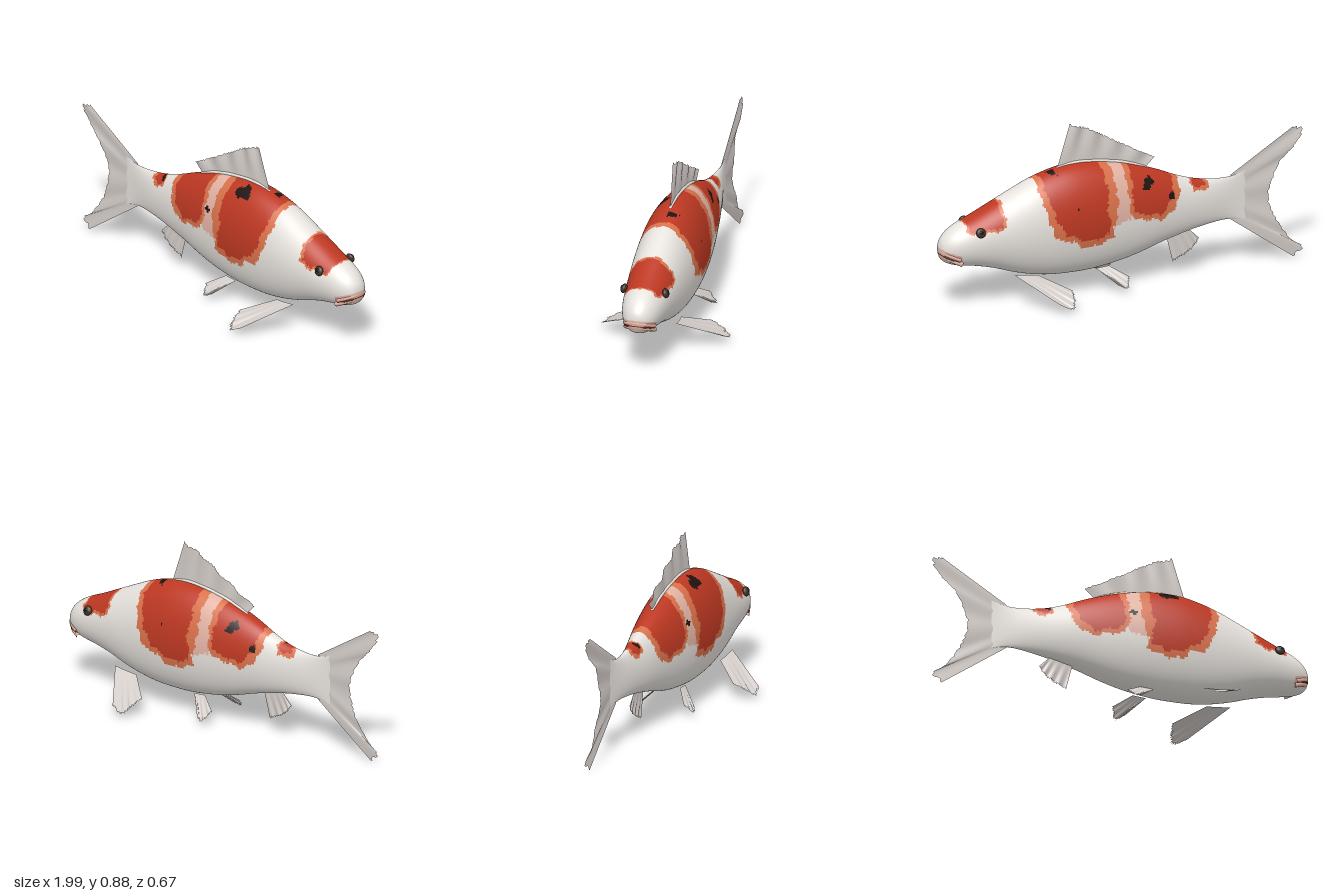
import * as THREE from 'three';

const mat = (name, color, side = THREE.FrontSide) => {
  const m = new THREE.MeshStandardMaterial({ color, side });
  m.name = name;
  return m;
};
const V = (p) => new THREE.Vector3(p[0], p[1], p[2] || 0);
const curve = (pts) => new THREE.CatmullRomCurve3(pts.map(V));

// body stations, tail to nose: x, top y, bottom y, half width
const STATIONS = [
  [-0.68, 0.5, 0.235, 0], [-0.63, 0.483, 0.25, 0.008], [-0.57, 0.477, 0.255, 0.02], [-0.5, 0.48, 0.25, 0.036],
  [-0.4, 0.497, 0.236, 0.058], [-0.3, 0.53, 0.215, 0.08], [-0.2, 0.573, 0.19, 0.1], [-0.1, 0.61, 0.16, 0.118],
  [0, 0.64, 0.136, 0.133], [0.1, 0.66, 0.12, 0.145], [0.2, 0.672, 0.11, 0.152], [0.3, 0.671, 0.109, 0.155],
  [0.4, 0.652, 0.114, 0.153], [0.5, 0.62, 0.13, 0.147], [0.6, 0.576, 0.156, 0.138], [0.7, 0.53, 0.19, 0.126],
  [0.8, 0.484, 0.216, 0.113], [0.87, 0.455, 0.228, 0.101], [0.92, 0.43, 0.238, 0.087], [0.955, 0.405, 0.25, 0.069],
  [0.98, 0.377, 0.268, 0.046], [0.991, 0.352, 0.292, 0.024], [0.995, 0.325, 0.322, 0],
];

// side-on outlines (x, y) of the markings, open over the back
const RED = [
  [[0.12, 0.8], [0.13, 0.6], [0.12, 0.52], [0.14, 0.46], [0.12, 0.38], [0.12, 0.33], [0.2, 0.305], [0.28, 0.31],
    [0.36, 0.36], [0.41, 0.42], [0.43, 0.5], [0.455, 0.58], [0.46, 0.8]],
  [[-0.25, 0.8], [-0.26, 0.5], [-0.24, 0.43], [-0.17, 0.37], [-0.1, 0.385], [-0.03, 0.4], [-0.01, 0.46], [-0.02, 0.55], [-0.02, 0.8]],
  [[-0.46, 0.6], [-0.45, 0.47], [-0.4, 0.45], [-0.38, 0.47], [-0.38, 0.6]],
  [[0.69, 0.7], [0.69, 0.435], [0.76, 0.42], [0.85, 0.41], [0.865, 0.45], [0.865, 0.6]],
];
const ORANGE = [
  [[0.075, 0.8], [0.08, 0.6], [0.07, 0.5], [0.08, 0.42], [0.1, 0.36], [0.1, 0.3], [0.14, 0.285], [0.22, 0.268], [0.28, 0.275],
    [0.32, 0.31], [0.4, 0.33], [0.43, 0.37], [0.45, 0.43], [0.47, 0.5], [0.485, 0.56], [0.49, 0.8]],
  [[-0.3, 0.8], [-0.295, 0.48], [-0.28, 0.43], [-0.25, 0.38], [-0.18, 0.34], [-0.13, 0.357], [-0.03, 0.37], [0, 0.4], [0.01, 0.5], [0.01, 0.8]],
  [[-0.47, 0.6], [-0.47, 0.455], [-0.42, 0.437], [-0.37, 0.45], [-0.365, 0.6]],
  [[0.675, 0.7], [0.675, 0.425], [0.75, 0.408], [0.86, 0.4], [0.872, 0.45], [0.872, 0.6]],
];
const PINK = [[[0, 0.8], [0, 0.39], [0.04, 0.37], [0.09, 0.36], [0.09, 0.8]]];
// black spots: x, y, side, x radius, y radius
const SPOTS = [
  [0.23, 0.637, 1, 0.05, 0.025], [0.035, 0.497, 1, 0.02, 0.013], [-0.39, 0.485, 1, 0.013, 0.015],
  [-0.11, 0.54, -1, 0.03, 0.03], [-0.24, 0.45, -1, 0.018, 0.018], [0.39, 0.65, -1, 0.02, 0.012], [0.3, 0.47, -1, 0.009, 0.009],
];

function inside(poly, x, y) {
  let hit = false;
  for (let i = 0, j = poly.length - 1; i < poly.length; j = i++) {
    const [ax, ay] = poly[i], [bx, by] = poly[j];
    if ((ay > y) !== (by > y) && x < ((bx - ax) * (y - ay)) / (by - ay) + ax) hit = !hit;
  }
  return hit;
}

// material index of a skin face: white, red, orange, pink, black
function skin(x, y, z) {
  const px = x + 0.005 * Math.sin(y * 75 + z * 20) + 0.003 * Math.sin(y * 190);
  const py = y + 0.006 * Math.sin(x * 70 + (z < 0 ? 2 : 0)) + 0.003 * Math.sin(x * 210);
  for (const [sx, sy, side, rx, ry] of SPOTS) {
    if (z * side > 0 && Math.hypot((px - sx) / rx, (py - sy) / ry) < 1) return 4;
  }
  if (RED.some((p) => inside(p, px, py))) return 1;
  if (ORANGE.some((p) => inside(p, px, py))) return 2;
  if (PINK.some((p) => inside(p, px, py))) return 3;
  if (x > 0.9 && y > 0.25 + (x - 0.9) * 0.3 && y < 0.298 + (x - 0.9) * 0.36) return 3;
  return 0;
}

function bodyGeometry() {
  const SUB = 12, N = 128, rings = (STATIONS.length - 1) * SUB;
  const pos = [], buckets = [[], [], [], [], []];
  const at = (k) => STATIONS[Math.max(0, Math.min(STATIONS.length - 1, k))];
  for (let i = 0; i <= rings; i++) {
    const k = Math.min(Math.floor(i / SUB), STATIONS.length - 2), t = i / SUB - k;
    const [x, top, bot, w] = [0, 1, 2, 3].map((c) => {
      const a = at(k - 1)[c], b = at(k)[c], d = at(k + 1)[c], e = at(k + 2)[c];
      return b + 0.5 * t * (d - a + t * (2 * a - 5 * b + 4 * d - e + t * (3 * (b - d) + e - a)));
    });
    for (let j = 0; j < N; j++) {
      const a = (j / N) * Math.PI * 2, s = Math.sin(a), c = Math.cos(a);
      const full = c < 0 ? 0.85 : 1; // the belly is a little fuller than the back
      pos.push(x, (top + bot) / 2 + ((top - bot) / 2) * c, Math.max(w, 0) * Math.sign(s) * Math.abs(s) ** full);
    }
  }
  for (let i = 0; i < rings; i++) for (let j = 0; j < N; j++) {
    const a = i * N + j, c = i * N + ((j + 1) % N), b = a + N, d = c + N;
    const mid = [0, 1, 2].map((q) => (pos[a * 3 + q] + pos[c * 3 + q] + pos[b * 3 + q] + pos[d * 3 + q]) / 4);
    buckets[skin(...mid)].push(a, c, b, c, d, b);
  }
  const g = new THREE.BufferGeometry();
  g.setAttribute('position', new THREE.Float32BufferAttribute(pos, 3));
  g.setIndex(buckets.flat());
  let start = 0;
  buckets.forEach((list, m) => { g.addGroup(start, list.length, m); start += list.length; });
  g.computeVertexNormals();
  return g;
}

// rippled membrane between a base curve and a frayed outer curve
function finGeometry(base, tip, ripple, fray) {
  const U = 72, W = 10, b = curve(base), e = curve(tip), pos = [], idx = [];
  for (let i = 0; i <= U; i++) {
    const u = i / U, p = b.getPoint(u), q = e.getPoint(u);
    const edge = i === 0 || i === U ? 1 : 1 - fray * Math.abs(Math.sin(i * 1.9) * Math.cos(i * 0.73));
    for (let j = 0; j <= W; j++) {
      const v = (j / W) * edge, r = p.clone().lerp(q, v);
      pos.push(r.x, r.y, r.z + ripple * v * Math.sin(u * 26));
      if (i < U && j < W) {
        const k = i * (W + 1) + j;
        idx.push(k, k + 1, k + W + 1, k + 1, k + W + 2, k + W + 1);
      }
    }
  }
  const g = new THREE.BufferGeometry();
  g.setAttribute('position', new THREE.Float32BufferAttribute(pos, 3));
  g.setIndex(idx);
  g.computeVertexNormals();
  return g;
}

export function createModel() {
  const fish = new THREE.Group();
  fish.name = 'fish';
  const white = mat('white skin', 0xe6e2dd), red = mat('red marking', 0xbd3822), orange = mat('orange edge', 0xd8714a);
  const pink = mat('pale pink', 0xe2b3a4), black = mat('black spot', 0x1e1210);
  const finMat = mat('fin membrane', 0xd3ccc8, THREE.DoubleSide);
  const eyeMat = mat('eye brown', 0x3d3128), mouthMat = mat('mouth crease', 0x5b2a22);
  const add = (name, geo, m) => {
    const mesh = new THREE.Mesh(geo, m);
    mesh.name = name;
    fish.add(mesh);
    return mesh;
  };

  add('body', bodyGeometry(), [white, red, orange, pink, black]);

  // fins on the centre line
  add('tailFin', finGeometry([[-0.6, 0.485], [-0.61, 0.37], [-0.6, 0.25]],
    [[-0.945, 0.693], [-1, 0.675], [-0.95, 0.59], [-0.88, 0.52], [-0.83, 0.43], [-0.81, 0.35], [-0.835, 0.25],
      [-0.88, 0.17], [-0.94, 0.09], [-1, 0.045], [-0.945, 0.003]], 0.004, 0.05), finMat);
  add('dorsalFin', finGeometry([[-0.13, 0.59], [0.02, 0.64], [0.18, 0.665], [0.345, 0.665]],
    [[-0.185, 0.642], [-0.06, 0.71], [0.07, 0.785], [0.18, 0.848], [0.275, 0.88]], 0.008, 0.06), finMat);
  add('analFin', finGeometry([[-0.37, 0.235], [-0.25, 0.21]],
    [[-0.43, 0.175], [-0.4, 0.135], [-0.35, 0.1], [-0.285, 0.073]], 0.004, 0.1), finMat);
  add('dorsalRidge', new THREE.TubeGeometry(curve([[-0.14, 0.59], [-0.05, 0.627], [0.05, 0.653], [0.15, 0.668], [0.25, 0.674], [0.35, 0.658]]),
    40, 0.009, 8), white);

  // paired fins and eyes
  for (const s of [1, -1]) {
    const side = s > 0 ? 'Front' : 'Back';
    const flip = (pts) => pts.map(([x, y, z]) => [x, y, z * s]);
    add('pectoralFin' + side, finGeometry(flip([[0.63, 0.17, 0.11], [0.57, 0.162, 0.11], [0.5, 0.15, 0.1]]),
      flip([[0.465, 0.05, 0.325], [0.4, 0.024, 0.333], [0.375, 0.055, 0.29], [0.36, 0.085, 0.225]]), 0.005, 0.07), finMat);
    add('pelvicFin' + side, finGeometry(flip([[0.16, 0.12, 0.055], [0.09, 0.125, 0.055]]),
      flip([[0.07, 0.04, 0.14], [0.03, 0.024, 0.157], [0, 0.07, 0.11]]), 0.004, 0.1), finMat);
    const eye = add('eye' + side, new THREE.SphereGeometry(0.025, 24, 16), eyeMat);
    eye.position.set(0.812, 0.418, 0.108 * s);
    eye.scale.z = 0.62;
    eye.rotation.x = -0.3 * s;
    const pupil = add('pupil' + side, new THREE.SphereGeometry(0.013, 16, 12), black);
    pupil.position.set(0.813, 0.421, 0.119 * s);
    pupil.scale.z = 0.45;
  }

  // mouth: two lips and the crease between them
  const mouth = (name, dy, dx, r, m) => add(name, new THREE.TubeGeometry(curve(
    [[0.91, 0.268, 0.075], [0.95, 0.286, 0.062], [0.976, 0.298, 0.04], [0.987, 0.304, 0], [0.976, 0.298, -0.04], [0.95, 0.286, -0.062], [0.91, 0.268, -0.075]]
      .map(([x, y, z]) => [x + dx, y + dy, z])), 48, r, 8), m);
  mouth('upperLip', 0.011, -0.003, 0.012, pink);
  mouth('lowerLip', -0.014, -0.012, 0.012, pink);
  mouth('mouthCrease', -0.002, 0.001, 0.006, mouthMat);
  return fish;
}
